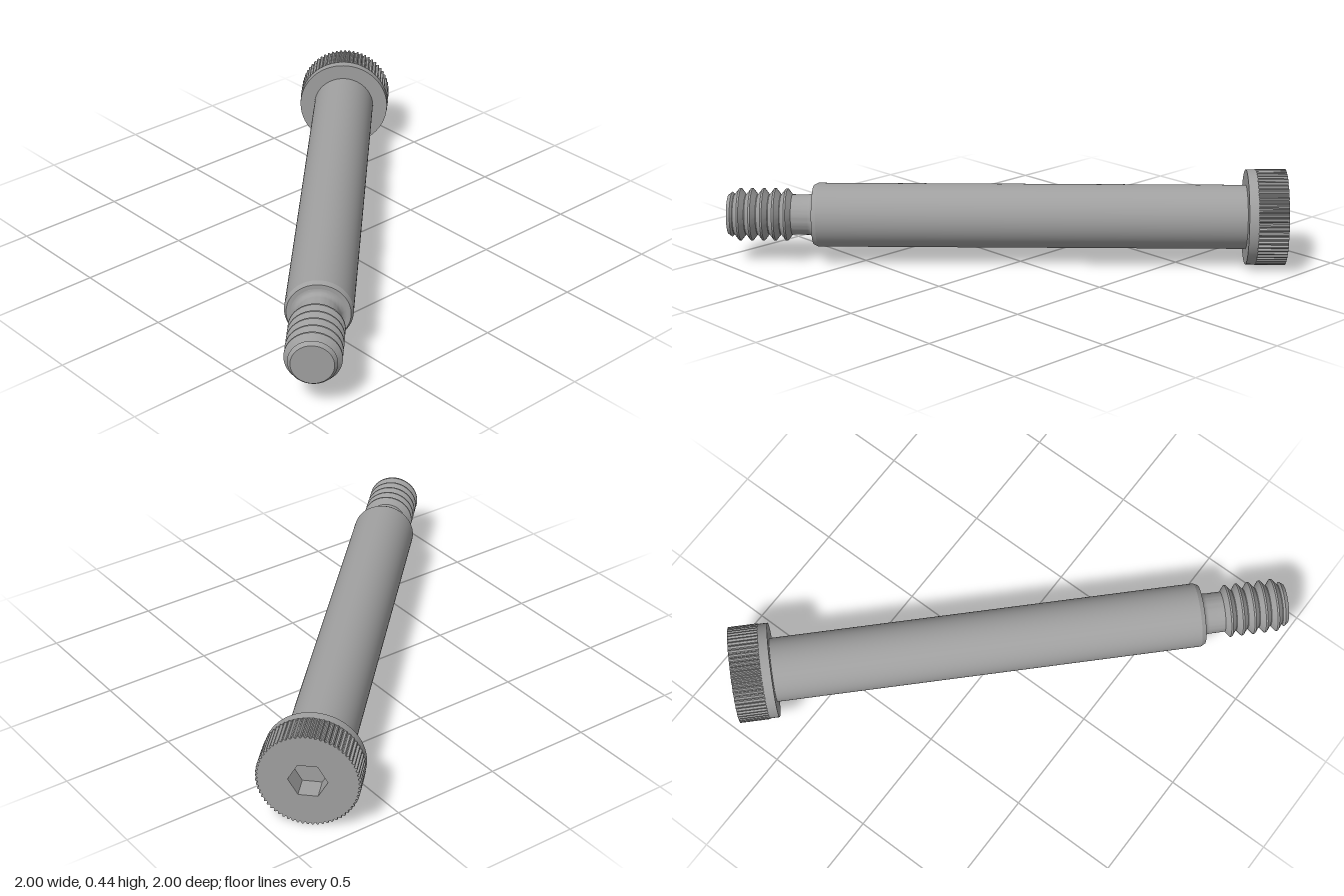
import * as THREE from 'three';
import { toCreasedNormals } from 'three/addons/utils/BufferGeometryUtils.js';

const HEAD_R = 0.218;
const HEX_R = 0.083;

export function createModel() {
  const steel = new THREE.MeshStandardMaterial({ color: 0xa0a0a0 });
  steel.name = 'steel';

  // The screw is built along local +z, then turned onto the diagonal
  const screw = new THREE.Group();
  screw.name = 'shoulderScrew';

  const add = (name, geometry) => {
    const mesh = new THREE.Mesh(geometry, steel);
    mesh.name = name;
    screw.add(mesh);
  };

  // Turned part from [radius, position along the axis] pairs
  const turned = (name, profile) => {
    const points = profile.map(([r, s]) => new THREE.Vector2(r, s));
    const geometry = new THREE.LatheGeometry(points, 72).rotateX(Math.PI / 2);
    add(name, toCreasedNormals(geometry, 0.4));
  };

  // Knurled head with a hexagonal socket
  const ridges = 64;
  const outline = [];
  for (let i = 0; i < ridges * 4; i++) {
    const a = (i / (ridges * 4)) * Math.PI * 2;
    const r = i % 4 < 2 ? HEAD_R : HEAD_R - 0.009;
    outline.push(new THREE.Vector2(Math.cos(a) * r, Math.sin(a) * r));
  }
  const headShape = new THREE.Shape(outline);
  const hex = [];
  for (let i = 0; i < 6; i++) {
    const a = (i * Math.PI) / 3;
    hex.push(new THREE.Vector2(Math.cos(a) * HEX_R, Math.sin(a) * HEX_R));
  }
  headShape.holes.push(new THREE.Path(hex));
  add('knurledHead', new THREE.ExtrudeGeometry(headShape, { depth: 0.135, bevelEnabled: false })
    .translate(0, 0, -1.196));
  add('socketFloor', new THREE.CircleGeometry(HEX_R, 6).rotateY(Math.PI).translate(0, 0, -1.096));

  // Plain collar under the knurling
  turned('headCollar', [[0, -1.061], [0.215, -1.061], [0.215, -1.018], [0.14, -1.018]]);

  // Long shoulder, chamfered at its end
  turned('shoulder', [[0.145, -1.02], [0.145, 0.918], [0.135, 0.938], [0.11, 0.938]]);

  // Undercut neck with a fillet against the shoulder
  const neck = [];
  for (let i = 0; i <= 5; i++) {
    const a = (i / 5) * Math.PI / 2;
    neck.push([0.116 - 0.024 * Math.sin(a), 0.962 - 0.024 * Math.cos(a)]);
  }
  neck.push([0.092, 1.04]);
  turned('neck', neck);

  // Thread crests, ending in a chamfered tip
  const pitch = 0.053;
  const thread = [[0.092, 1.036]];
  for (let i = 0; i < 5; i++) {
    const s = 1.036 + i * pitch;
    thread.push([0.119, s + 0.021], [0.119, s + 0.029], [0.092, s + 0.05], [0.092, s + pitch]);
  }
  thread.push([0.102, 1.31], [0.089, 1.327], [0, 1.327]);
  turned('thread', thread);

  screw.rotation.y = Math.PI / 4;
  screw.position.y = HEAD_R;

  const model = new THREE.Group();
  model.name = 'model';
  model.add(screw);
  return model;
}
